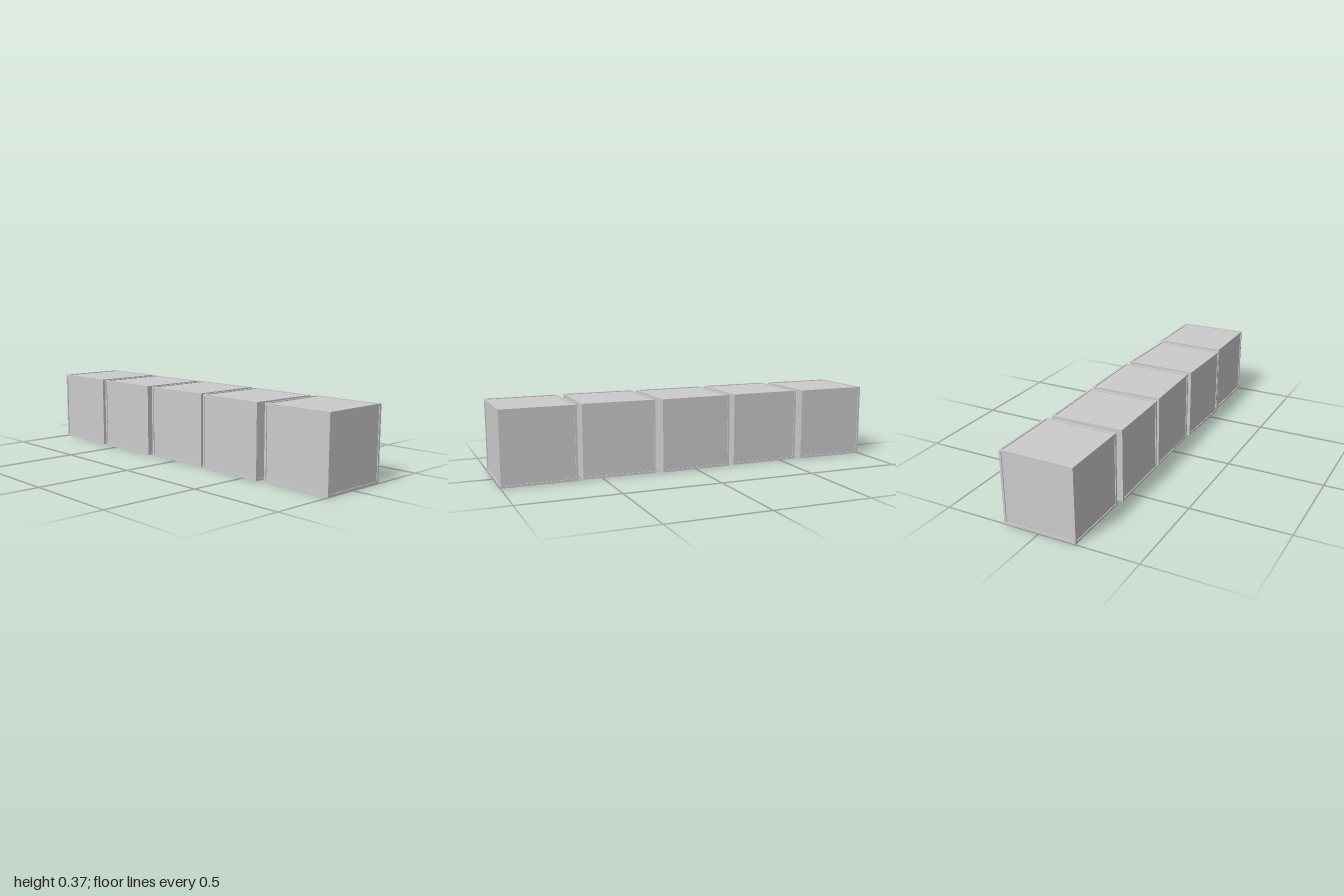
import * as THREE from 'three';

const SIZE = 0.374;   // outer edge of a cube
const RIM = 0.011;    // thickness of the edge frame
const RECESS = 0.004; // how far the panels sit behind the frame

const material = new THREE.MeshStandardMaterial({ color: 0xcccccc, flatShading: true });

function box(name, w, h, d, x = 0, y = 0, z = 0) {
  const mesh = new THREE.Mesh(new THREE.BoxGeometry(w, h, d), material);
  mesh.name = name;
  mesh.position.set(x, y, z);
  return mesh;
}

// A cube with recessed panels on all six sides, held in a frame of twelve bars
function createCube() {
  const cube = new THREE.Group();
  const core = SIZE - 2 * RECESS;
  cube.add(box('panels', core, core, core));

  const inner = SIZE - 2 * RIM;
  const o = (SIZE - RIM) / 2;
  for (const a of [-o, o]) {
    for (const b of [-o, o]) {
      cube.add(box('crossBar', SIZE, RIM, RIM, 0, a, b));
      cube.add(box('uprightBar', RIM, inner, RIM, a, 0, b));
      cube.add(box('lengthBar', RIM, RIM, inner, a, b, 0));
    }
  }
  return cube;
}

export function createModel() {
  const model = new THREE.Group();
  model.name = 'cubeRow';

  // Row of cubes from back to front, each slightly shifted and turned: x, z, yaw
  const placements = [
    [-0.002, -0.812, 0.003],
    [-0.008, -0.404, 0.02],
    [0.004, 0.0, 0.025],
    [-0.002, 0.405, -0.02],
    [0.008, 0.812, 0.006],
  ];
  placements.forEach(([x, z, yaw], i) => {
    const cube = createCube();
    cube.name = `cube${i + 1}`;
    cube.position.set(x, SIZE / 2, z);
    cube.rotation.y = yaw;
    model.add(cube);
  });
  return model;
}
